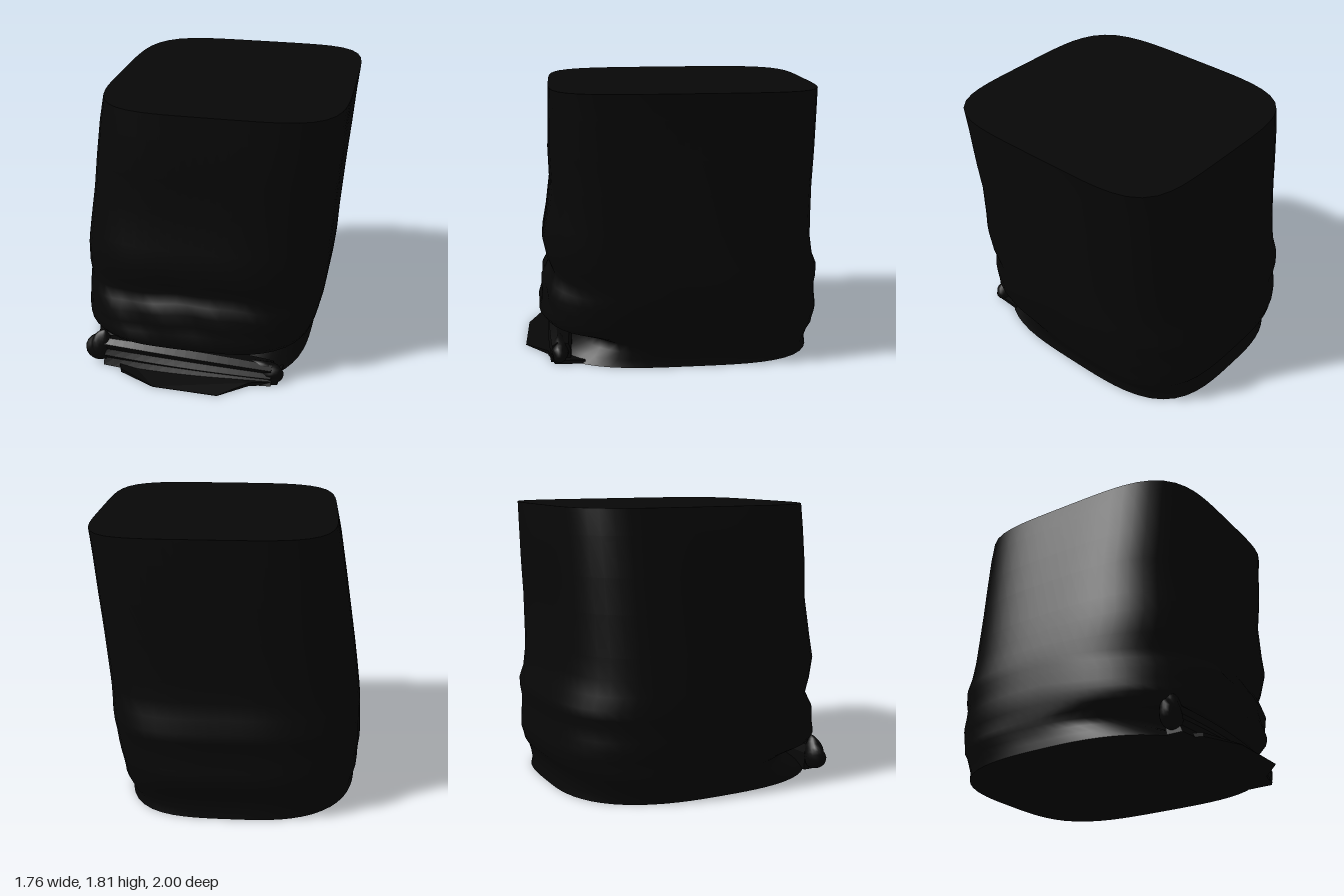
import * as THREE from 'three';
import { mergeVertices } from 'three/addons/utils/BufferGeometryUtils.js';

// Cross-sections: y, right x, left x, back z, front z, corner squareness
const RINGS = [
  [0.00, -0.85, 0.67, -0.95, 0.85, 2.7],
  [0.05, -0.85, 0.66, -0.94, 0.78, 2.7],
  [0.10, -0.85, 0.68, -0.94, 0.66, 2.8],
  [0.15, -0.86, 0.70, -0.95, 0.60, 2.8],
  [0.19, -0.865, 0.71, -0.975, 0.72, 2.9],
  [0.23, -0.87, 0.72, -0.985, 0.87, 2.9],
  [0.28, -0.875, 0.73, -0.998, 0.91, 2.9],
  [0.34, -0.88, 0.742, -0.99, 0.89, 3.0],
  [0.40, -0.878, 0.755, -0.98, 0.885, 3.0],
  [0.48, -0.875, 0.767, -0.975, 0.885, 3.0],
  [0.54, -0.872, 0.773, -0.98, 0.85, 3.1],
  [0.60, -0.87, 0.778, -0.98, 0.82, 3.1],
  [0.68, -0.862, 0.784, -0.945, 0.85, 3.2],
  [0.79, -0.848, 0.79, -0.925, 0.87, 3.3],
  [0.92, -0.83, 0.80, -0.915, 0.845, 3.4],
  [1.18, -0.79, 0.82, -0.905, 0.81, 3.6],
  [1.40, -0.756, 0.84, -0.905, 0.815, 3.8],
  [1.65, -0.715, 0.86, -0.9, 0.805, 4.1],
  [1.813, -0.68, 0.877, -0.895, 0.80, 4.3],
];
const SIDES = 72;

// Point on a rounded-square ring, with gentle drape folds low on the front
function ringPoint([y, x0, x1, z0, z1, corner], i) {
  const a = (i / SIDES) * Math.PI * 2;
  const c = Math.cos(a), s = Math.sin(a);
  // the left corners are squarer, the back one most of all
  const n = corner + (c > 0 ? (s < 0 ? 1.0 : 0.4) : 0);
  const r = 1 / Math.pow(Math.abs(c) ** n + Math.abs(s) ** n, 1 / n);
  const x = (x0 + x1) / 2 + r * c * (x1 - x0) / 2;
  const z = (z0 + z1) / 2 + r * s * (z1 - z0) / 2;
  const low = Math.sin(Math.PI * Math.min(1, Math.max(0, (y - 0.2) / 0.6)));
  const front = low * Math.max(0, s);
  const sag = front * (0.01 - 0.2 * x * x);
  const crease = front * 0.01 * (Math.sin(x * 17 + y * 12) - 1);
  return [x, y + sag, z + crease];
}

function loft(rings) {
  const pos = [], idx = [];
  rings.forEach((ring) => {
    for (let i = 0; i < SIDES; i++) pos.push(...ringPoint(ring, i));
  });
  for (let k = 0; k < rings.length - 1; k++) {
    for (let i = 0; i < SIDES; i++) {
      const j = (i + 1) % SIDES, a = k * SIDES, b = a + SIDES;
      idx.push(a + i, b + i, b + j, a + i, b + j, a + j);
    }
  }
  const g = new THREE.BufferGeometry();
  g.setAttribute('position', new THREE.Float32BufferAttribute(pos, 3));
  g.setIndex(idx);
  g.computeVertexNormals();
  return g;
}

// Flat lid closing a ring, facing up or down
function cap(ring, up) {
  const pts = [];
  for (let i = 0; i < SIDES; i++) {
    const [x, , z] = ringPoint(ring, i);
    pts.push(new THREE.Vector2(x, up ? -z : z));
  }
  const g = new THREE.ShapeGeometry(new THREE.Shape(pts));
  g.rotateX(up ? -Math.PI / 2 : Math.PI / 2);
  g.translate(0, ring[0], 0);
  return g;
}

// Move every vertex of a geometry by a rule
function warp(g, rule) {
  const p = g.attributes.position;
  for (let i = 0; i < p.count; i++) p.setXYZ(i, ...rule(p.getX(i), p.getY(i), p.getZ(i)));
  g.computeVertexNormals();
  return g;
}

// Gathered cloth: a rippled ball that narrows towards its top
function gather(rx, ry, rz) {
  const ball = new THREE.SphereGeometry(1, 20, 14).deleteAttribute('uv').deleteAttribute('normal');
  return warp(mergeVertices(ball), (x, y, z) => {
    const f = (1 + 0.08 * Math.sin(5 * x + 6 * y + 3 * z)) * (1 - 0.4 * y);
    return [x * rx * f, y * ry, z * rz * f];
  });
}

const shapeFrom = (pts) => new THREE.Shape(pts.map(([x, y]) => new THREE.Vector2(x, y)));

export function createModel() {
  const model = new THREE.Group();
  const cloth = new THREE.MeshStandardMaterial({ color: 0x070707 });
  cloth.name = 'black cloth';
  const add = (name, geometry, x = 0, y = 0, z = 0) => {
    const m = new THREE.Mesh(geometry, cloth);
    m.name = name;
    m.position.set(x, y, z);
    model.add(m);
    return m;
  };

  // Draped body with its flat top and underside
  add('coverBody', loft(RINGS));
  add('coverTop', cap(RINGS[RINGS.length - 1], true));
  add('coverBase', cap(RINGS[0], false));

  // Folded hem band across the front, lower towards the left end
  const section = shapeFrom([
    [0.68, 0], [0.85, 0], [0.82, 0.05], [0.85, 0.08], [0.825, 0.12], [0.84, 0.16], [0.79, 0.19], [0.7, 0.18], [0.68, 0.12],
  ]);
  const band = new THREE.ExtrudeGeometry(section, { depth: 1.14, steps: 16, bevelEnabled: false });
  band.rotateY(-Math.PI / 2);
  band.translate(0.5, 0, 0);
  add('hemBand', warp(band, (x, y, z) => [
    x, y * (0.92 - 0.3 * x - 0.3 * x * x), 0.745 + (z - 0.745) * (1 - 0.9 * x * x),
  ]));

  // Bunched ends of the band
  add('rightBunch', gather(0.085, 0.115, 0.06), -0.67, 0.13, 0.76).rotation.z = -0.3;
  add('leftBunch', gather(0.06, 0.12, 0.05), 0.46, 0.085, 0.765).rotation.z = 1.15;

  // Loose flap lying on the ground, thinning to its front edge
  const flap = shapeFrom([
    [-0.62, -0.6], [-0.5, -0.87], [-0.25, -0.99], [0.18, -1.0], [0.36, -0.85], [0.54, -0.8], [0.55, -0.6],
  ]);
  const flapGeo = new THREE.ExtrudeGeometry(flap, { depth: 0.025, bevelEnabled: false });
  flapGeo.rotateX(-Math.PI / 2);
  add('groundFlap', warp(flapGeo, (x, y, z) => [x, z > 0.9 ? Math.min(y, 0.004) : y, z]));

  return model;
}
